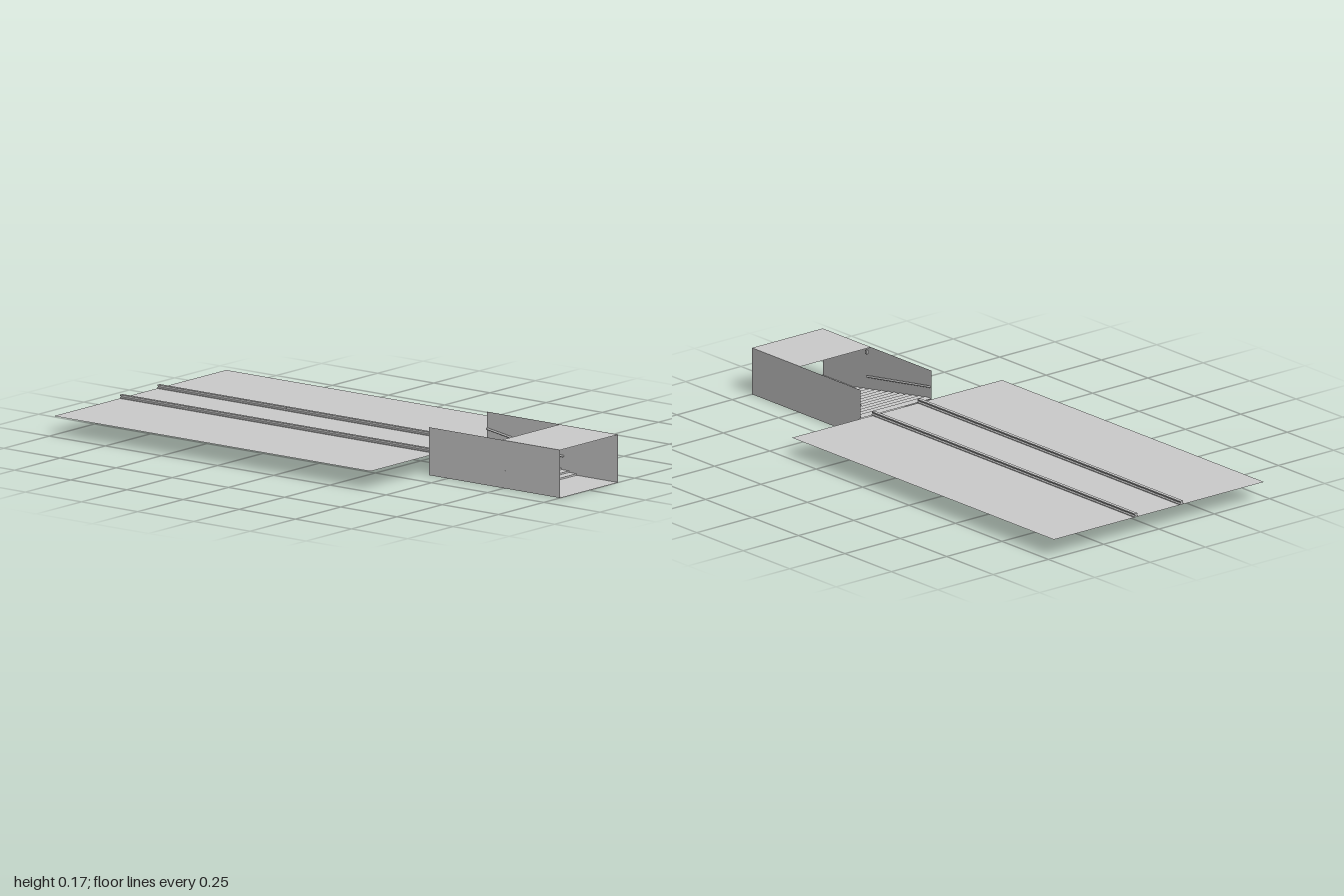
import * as THREE from 'three';

const grey = new THREE.MeshStandardMaterial({ color: 0xcccccc, side: THREE.DoubleSide });

const HALF_W = 0.16;       // half width of the entrance
const BACK = 0.415;        // where platform and entrance meet
const DECK = 0.067;        // platform height
const ROOF = 0.17;

function add(group, name, geometry, x = 0, y = 0, z = 0) {
  const mesh = new THREE.Mesh(geometry, grey);
  mesh.name = name;
  mesh.position.set(x, y, z);
  group.add(mesh);
  return mesh;
}

// flat horizontal sheet between two z values
function sheet(group, name, width, z0, z1, y) {
  const g = new THREE.PlaneGeometry(width, z1 - z0).rotateX(-Math.PI / 2);
  return add(group, name, g, 0, y, (z0 + z1) / 2);
}

// I-shaped rail running along z
function railGeometry(length) {
  const half = [[0.0085, 0], [0.0085, 0.003], [0.003, 0.005], [0.003, 0.008], [0.0065, 0.009], [0.0065, 0.013]];
  const mirrored = half.map(([x, y]) => [-x, y]).reverse();
  const shape = new THREE.Shape([...half, ...mirrored].map(([x, y]) => new THREE.Vector2(x, y)));
  return new THREE.ExtrudeGeometry(shape, { depth: length, bevelEnabled: false });
}

function buildPlatform() {
  const group = new THREE.Group();
  group.name = 'platform';
  sheet(group, 'deck', 0.95, -1, 0.41, DECK);
  for (const side of [-1, 1]) {
    add(group, 'trackRail', railGeometry(1.415), side * 0.103, DECK, -1);
  }
  return group;
}

function buildStairs() {
  const group = new THREE.Group();
  group.name = 'stairs';
  const count = 12, run = 0.4 / count, rise = DECK / count;
  for (let i = 0; i < count; i++) {
    const top = DECK - i * rise, z = BACK + i * run;
    sheet(group, 'tread', HALF_W * 2, z, z + run, top);
    add(group, 'riser', new THREE.PlaneGeometry(HALF_W * 2, rise), 0, top - rise / 2, z + run);
  }
  return group;
}

function buildHandrail(side) {
  const group = new THREE.Group();
  group.name = 'handrail';
  const x = side * (HALF_W - 0.005);
  const wall = side * (HALF_W + 0.0005);
  const top = new THREE.Vector3(x, 0.111, BACK + 0.005);
  const bottom = new THREE.Vector3(x, 0.06, 0.755);
  add(group, 'bar', new THREE.TubeGeometry(new THREE.LineCurve3(top, bottom), 1, 0.0038, 10));
  for (const end of [top, bottom]) {
    add(group, 'railEnd', new THREE.SphereGeometry(0.0038, 10, 8), end.x, end.y, end.z);
  }
  // pegs holding the bar to the wall
  for (const t of [0.06, 0.5, 1]) {
    const p = top.clone().lerp(bottom, t);
    const reach = t === 1 ? wall : side * HALF_W;
    const peg = new THREE.CylinderGeometry(0.003, 0.003, Math.abs(reach - x), 8).rotateZ(Math.PI / 2);
    add(group, 'peg', peg, (x + reach) / 2, p.y, p.z);
  }
  return group;
}

function buildEntrance() {
  const group = new THREE.Group();
  group.name = 'entrance';
  sheet(group, 'floor', HALF_W * 2, BACK, 1, 0);
  sheet(group, 'roof', HALF_W * 2, 0.74, 1, ROOF);
  for (const side of [-1, 1]) {
    const wall = new THREE.PlaneGeometry(1 - BACK, ROOF).rotateY(side * Math.PI / 2);
    add(group, 'sideWall', wall, side * HALF_W, ROOF / 2, (1 + BACK) / 2);
    group.add(buildHandrail(side));
    // small fitting high on the wall
    add(group, 'wallFitting', new THREE.BoxGeometry(0.008, 0.014, 0.008), side * 0.156, 0.148, 0.76);
  }
  group.add(buildStairs());
  return group;
}

export function createModel() {
  const model = new THREE.Group();
  model.name = 'stationPlatform';
  model.add(buildPlatform(), buildEntrance());
  return model;
}
